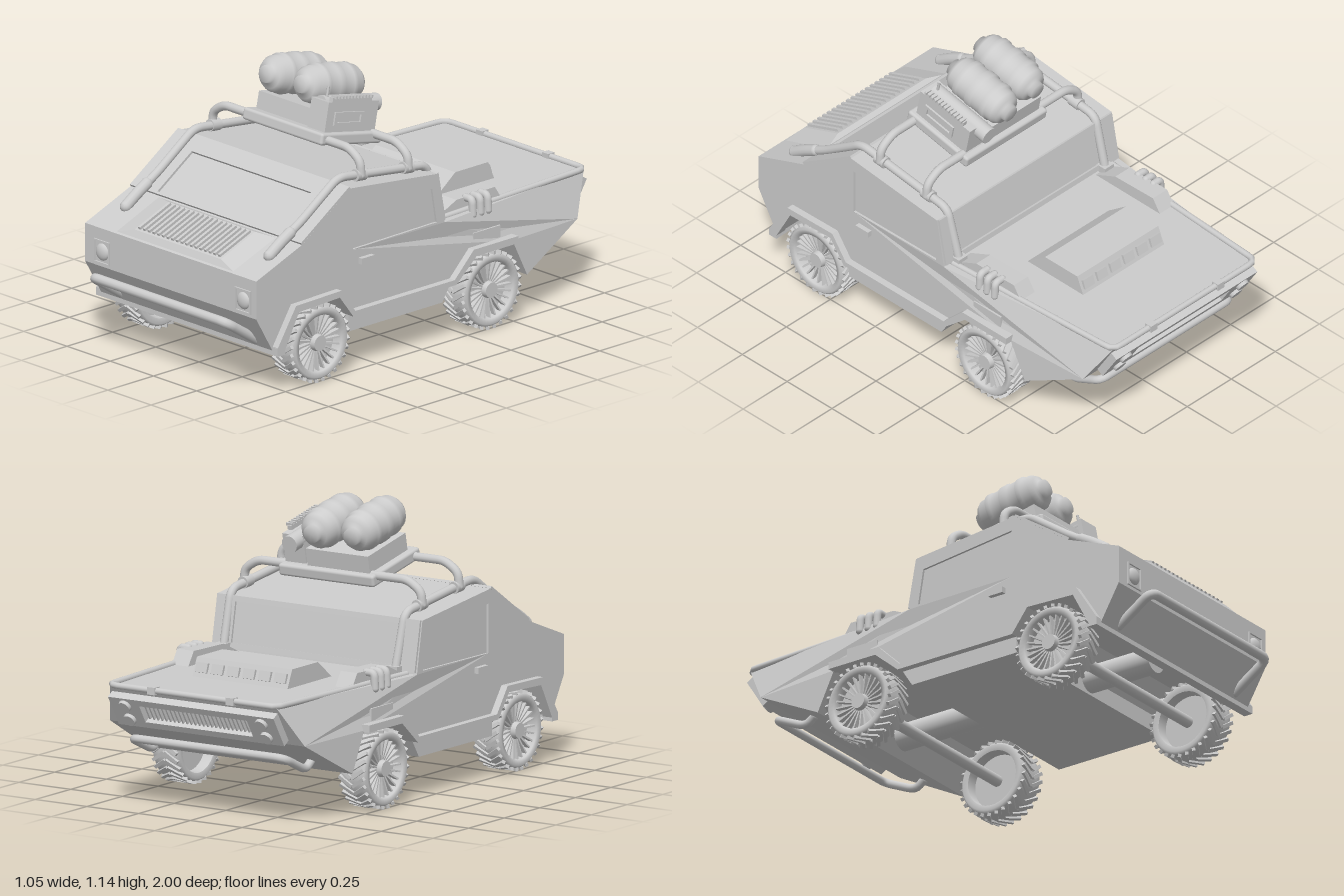
import * as THREE from 'three';
import { mergeGeometries } from 'three/addons/utils/BufferGeometryUtils.js';
import { RoundedBoxGeometry } from 'three/addons/geometries/RoundedBoxGeometry.js';

const mat = new THREE.MeshStandardMaterial({ color: 0xcccccc, side: THREE.DoubleSide });
const V = (x, y, z) => new THREE.Vector3(x, y, z);
const P = (pts) => pts.map(([a, b]) => new THREE.Vector2(a, b));

function add(parent, name, geo, x = 0, y = 0, z = 0, rx = 0, ry = 0, rz = 0) {
  const m = new THREE.Mesh(geo, mat);
  m.name = name;
  m.position.set(x, y, z);
  m.rotation.set(rx, ry, rz);
  parent.add(m);
  return m;
}
function group(parent, name, x = 0, y = 0, z = 0, rx = 0) {
  const g = new THREE.Group();
  g.name = name;
  g.position.set(x, y, z);
  g.rotation.x = rx;
  parent.add(g);
  return g;
}
const box = (w, h, d) => new THREE.BoxGeometry(w, h, d);
const cyl = (r, h, n = 20, r2 = r) => new THREE.CylinderGeometry(r, r2, h, n);

// Outline in (z, y) extruded across x0..x1
function sideExtrude(pts, x0, x1, hole) {
  const s = new THREE.Shape(P(pts));
  if (hole) s.holes.push(new THREE.Path(P(hole)));
  const g = new THREE.ExtrudeGeometry(s, { depth: x1 - x0, bevelEnabled: false });
  return g.rotateY(-Math.PI / 2).translate(x1, 0, 0);
}
// Rear sides lean in towards the deck and the tail
function taperTail(g) {
  const p = g.attributes.position;
  for (let i = 0; i < p.count; i++) {
    const y = p.getY(i), z = p.getZ(i);
    let k = 1;
    if (z < -0.13 && y > 0.45) k = 0.93 - 0.12 * (-z - 0.13) / 0.85;
    else if (z < -0.86) k = 0.95;
    p.setX(i, p.getX(i) * k);
  }
  g.computeVertexNormals();
  return g;
}
// Box whose top is a different size, shifted by dz
function frustum(w, h, d, tw, td, dz = 0) {
  const g = box(w, h, d).toNonIndexed(), p = g.attributes.position;
  for (let i = 0; i < p.count; i++) if (p.getY(i) > 0) {
    p.setX(i, p.getX(i) * tw / w);
    p.setZ(i, p.getZ(i) * td / d + dz);
  }
  g.computeVertexNormals();
  return g;
}
// Flat panel with a rectangular opening
function frame(w, h, hw, hh, t, oy = 0) {
  const rect = (a, b, o) => P([[-a, o - b], [a, o - b], [a, o + b], [-a, o + b]]);
  const s = new THREE.Shape(rect(w / 2, h / 2, 0));
  s.holes.push(new THREE.Path(rect(hw / 2, hh / 2, oy)));
  return new THREE.ExtrudeGeometry(s, { depth: t, bevelEnabled: false });
}
// Tube along straight runs with rounded corners
function pipe(pts, r, bend = 0.04) {
  const path = new THREE.CurvePath(), v = pts.map((p) => V(...p));
  let last = v[0];
  for (let i = 1; i < v.length - 1; i++) {
    const a = v[i].clone().lerp(v[i - 1], Math.min(0.45, bend / v[i].distanceTo(v[i - 1])));
    const b = v[i].clone().lerp(v[i + 1], Math.min(0.45, bend / v[i].distanceTo(v[i + 1])));
    path.add(new THREE.LineCurve3(last, a));
    path.add(new THREE.QuadraticBezierCurve3(a, v[i], b));
    last = b;
  }
  path.add(new THREE.LineCurve3(last, v[v.length - 1]));
  const ends = [v[0], v[v.length - 1]].map((e) => new THREE.SphereGeometry(r, 12, 8).translate(e.x, e.y, e.z));
  return mergeGeometries([new THREE.TubeGeometry(path, 90, r, 12), ...ends]);
}

function makeWheel() {
  const w = new THREE.Group();
  const tyre = P([[0.118, -0.06], [0.14, -0.066], [0.15, -0.056], [0.154, -0.03], [0.154, 0.03],
    [0.15, 0.056], [0.14, 0.066], [0.118, 0.06], [0.115, 0.03], [0.115, -0.03], [0.118, -0.06]]);
  add(w, 'tyre', new THREE.LatheGeometry(tyre, 48), 0, 0, 0, 0, 0, -Math.PI / 2);
  const tread = [], spokes = [];
  for (let i = 0; i < 28; i++) for (const s of [-1, 1]) {
    tread.push(box(0.07, 0.014, 0.014).rotateY(s * 0.6).translate(s * 0.03, 0.155, 0).rotateX(i * Math.PI / 14));
  }
  for (let i = 0; i < 24; i++) {
    spokes.push(box(0.02, 0.085, 0.007).rotateZ(-0.15).translate(0.035, 0.077, 0).rotateX(i * Math.PI / 12));
  }
  add(w, 'treadBlocks', mergeGeometries(tread));
  add(w, 'spokes', mergeGeometries(spokes));
  add(w, 'rimBack', cyl(0.117, 0.03, 32), 0, 0, 0, 0, 0, Math.PI / 2);
  add(w, 'hub', cyl(0.032, 0.06, 20, 0.042), 0.03, 0, 0, 0, 0, -Math.PI / 2);
  return w;
}

export function createModel() {
  const model = new THREE.Group();

  // Hull: core plus side skins with window openings
  const hull = [[0.905, 0.5], [0.905, 0.34], [0.81, 0.177], [0.785, 0.177], [0.7, 0.335], [0.475, 0.345], [0.4, 0.24],
    [0.4, 0.17], [-0.115, 0.17], [-0.16, 0.24], [-0.27, 0.34], [-0.5, 0.34], [-0.58, 0.177], [-0.88, 0.335],
    [-0.98, 0.5], [-0.128, 0.505], [-0.09, 0.718], [0.39, 0.77], [0.655, 0.595]];
  const glass = [[0.375, 0.712], [0.375, 0.51], [-0.085, 0.515], [-0.06, 0.662]];
  add(model, 'hull', taperTail(sideExtrude(hull, -0.485, 0.485)));
  for (const s of [-1, 1]) {
    add(model, 'sideSkin', taperTail(sideExtrude(hull, s > 0 ? 0.483 : -0.495, s > 0 ? 0.495 : -0.483, glass)));
  }
  // Sloping frames around front and rear glass
  add(model, 'windscreenFrame', frame(0.99, 0.318, 0.69, 0.225, 0.01, -0.035), 0, 0.683, 0.522, -Math.atan2(0.265, 0.175));
  add(model, 'rearWindowFrame', frame(0.98, 0.21, 0.8, 0.165, 0.01), 0, 0.615, -0.109, -Math.atan2(0.04, -0.21));

  // Hood louvres
  const louvre = group(model, 'hoodLouvres', 0.013, 0.552, 0.78, 0.365);
  add(louvre, 'louvreBase', frustum(0.7, 0.022, 0.255, 0.5, 0.2), 0, 0.004, 0);
  for (let i = 0; i < 18; i++) add(louvre, 'slat', box(0.013, 0.012, 0.18), -0.23 + i * 0.0271, 0.02, 0);

  // Headlights, door handles, fender flares, deck details on both sides
  const flare = [[0.815, 0.17], [0.815, 0.205], [0.715, 0.36], [0.465, 0.365], [0.39, 0.262], [-0.155, 0.262],
    [-0.26, 0.365], [-0.505, 0.365], [-0.505, 0.335], [-0.275, 0.335], [-0.165, 0.24], [0.4, 0.24],
    [0.475, 0.338], [0.7, 0.33], [0.785, 0.17]];
  for (const s of [-1, 1]) {
    const x = 0.013 + s * 0.408;
    add(model, 'headlightFrame', frame(0.09, 0.098, 0.078, 0.086, 0.008), x, 0.402, 0.904);
    add(model, 'headlight', new THREE.SphereGeometry(0.036, 20, 12).scale(1, 1, 0.5), x, 0.402, 0.903);
    add(model, 'doorHandle', box(0.025, 0.025, 0.07), s * 0.503, 0.456, 0.31);
    add(model, 'fenderFlare', sideExtrude(flare, s > 0 ? 0.48 : -0.525, s > 0 ? 0.525 : -0.48));
    add(model, 'sideVent', box(0.025, 0.05, 0.15), s * 0.478, 0.393, -0.365);
    add(model, 'deckIntake', sideExtrude([[-0.13, 0.5], [-0.5, 0.5], [-0.46, 0.56], [-0.25, 0.555]], s * 0.395 - 0.04, s * 0.395 + 0.04));
    for (let i = 0; i < 3; i++) {
      const z = -0.305 - i * 0.042;
      add(model, 'exhaustStub', pipe([[s * 0.43, 0.552, z], [s * 0.468, 0.552, z], [s * 0.472, 0.49, z]], 0.016, 0.02));
    }
  }
  add(model, 'frontSkirt', box(1.05, 0.033, 0.04), 0, 0.186, 0.797);

  // Rear deck scoop with vents
  add(model, 'deckScoop', frustum(0.46, 0.08, 0.32, 0.46, 0.18, -0.035), 0.003, 0.537, -0.49);
  for (let i = 0; i < 6; i++) add(model, 'scoopVent', box(0.055, 0.04, 0.012), -0.187 + i * 0.076, 0.54, -0.637, 0.32);

  // Tail panel with grille and round lamps
  const tail = group(model, 'tailPanel', 0, 0.415, -0.93, -Math.atan2(-0.53, -0.85));
  add(tail, 'tailFrame', frame(0.8, 0.145, 0.52, 0.085, 0.035));
  for (let i = 0; i < 26; i++) add(tail, 'grilleBar', box(0.007, 0.085, 0.014), -0.25 + i * 0.02, 0, 0.008);
  for (const s of [-1, 1]) for (const t of [-1, 1]) {
    add(tail, 'tailLamp', cyl(0.026, 0.022, 20, 0.03), s * 0.33, t * 0.035, 0.038, Math.PI / 2);
  }

  // Bumper hoops and deck rail
  const c = 0.012;
  add(model, 'frontBumper', pipe([[c - 0.39, 0.215, 0.82], [c - 0.39, 0.32, 0.98], [c + 0.39, 0.32, 0.98], [c + 0.39, 0.215, 0.82]], 0.02));
  add(model, 'rearBumper', pipe([[-0.37, 0.235, -0.69], [-0.37, 0.205, -0.73], [-0.37, 0.275, -0.88],
    [0.37, 0.275, -0.88], [0.37, 0.205, -0.73], [0.37, 0.235, -0.69]], 0.017));
  add(model, 'deckRail', pipe([[-0.45, 0.505, -0.14], [-0.405, 0.505, -0.985], [0.405, 0.505, -0.985], [0.45, 0.505, -0.14]], 0.013));
  for (const s of [-1, 1]) add(model, 'railClamp', box(0.035, 0.03, 0.035), s * 0.19, 0.505, -0.985);

  // Roll cage over the cabin
  for (const s of [-1, 1]) {
    const x = c + s * 0.415;
    add(model, 'rollBar', pipe([[x, 0.565, 0.775], [x, 0.66, 0.6], [x, 0.8, 0.395], [x + s * 0.005, 0.742, -0.085], [x, 0.52, -0.145]], 0.018));
    add(model, 'rollBarFoot', pipe([[x, 0.56, 0.77], [x, 0.6, 0.71], [x, 0.63, 0.655]], 0.024));
    add(model, 'rollBarShoe', box(0.05, 0.03, 0.05), x, 0.52, -0.145);
  }
  for (const [z, y, yr] of [[0.28, 0.885, 0.787], [0.02, 0.85, 0.756]]) {
    add(model, 'roofCrossbar', pipe([[c - 0.43, yr, z], [c - 0.425, y - 0.04, z], [c - 0.36, y, z],
      [c + 0.36, y, z], [c + 0.425, y - 0.04, z], [c + 0.43, yr, z]], 0.018, 0.03));
    for (const s of [-1, 1]) add(model, 'crossbarClamp', cyl(0.025, 0.05, 14), c + s * 0.42, yr, z, Math.PI / 2 - 0.1);
  }

  // Tilted roof equipment: tray, two drums and a control box
  const pod = group(model, 'roofEquipment', 0.023, 0.862, 0.15, -0.2);
  add(pod, 'tray', new RoundedBoxGeometry(0.46, 0.05, 0.34, 2, 0.012));
  add(pod, 'cradle', box(0.3, 0.075, 0.27), -0.05, 0.06, -0.01);
  add(pod, 'controlBox', box(0.1, 0.125, 0.28), 0.16, 0.085, 0);
  add(pod, 'boxPanel', frame(0.16, 0.055, 0.13, 0.03, 0.008), 0.21, 0.08, 0.02, 0, Math.PI / 2);
  add(pod, 'boxTube', cyl(0.036, 0.31), 0.145, 0.125, -0.035, Math.PI / 2);
  add(pod, 'boxRidge', box(0.02, 0.022, 0.22), 0.2, 0.155, 0.01);
  for (let i = 0; i < 12; i++) add(pod, 'boxTooth', box(0.03, 0.012, 0.008), 0.205, 0.168, -0.09 + i * 0.018);
  add(pod, 'boxAerial', cyl(0.006, 0.06, 8), 0.155, 0.17, 0.1);
  const drum = P([[0, -0.165], [0.035, -0.165], [0.038, -0.145], [0.06, -0.14], [0.074, -0.12], [0.076, -0.09],
    [0.084, -0.085], [0.084, -0.065], [0.08, -0.06], [0.08, -0.02], [0.086, -0.016], [0.086, 0.016], [0.08, 0.02],
    [0.08, 0.06], [0.084, 0.065], [0.084, 0.085], [0.076, 0.09], [0.074, 0.12], [0.06, 0.14], [0.038, 0.145],
    [0.035, 0.165], [0, 0.165]]);
  for (const [x, z] of [[-0.142, 0], [0.034, -0.025]]) {
    add(pod, 'drum', new THREE.LatheGeometry(drum, 32), x, 0.18, z, Math.PI / 2);
  }

  // Running gear
  for (const z of [0.57, -0.37]) {
    const axle = group(model, 'axle', 0, 0.165, z);
    add(axle, 'axleTube', cyl(0.024, 0.86, 16), 0, 0, 0, 0, 0, Math.PI / 2);
    for (const s of [-1, 1]) {
      const w = makeWheel();
      w.name = 'wheel';
      w.position.x = s * 0.452;
      if (s < 0) w.rotation.y = Math.PI;
      axle.add(w);
    }
  }
  add(model, 'driveShaft', cyl(0.055, 1.25, 20), 0, 0.235, 0.1, Math.PI / 2);
  return model;
}
